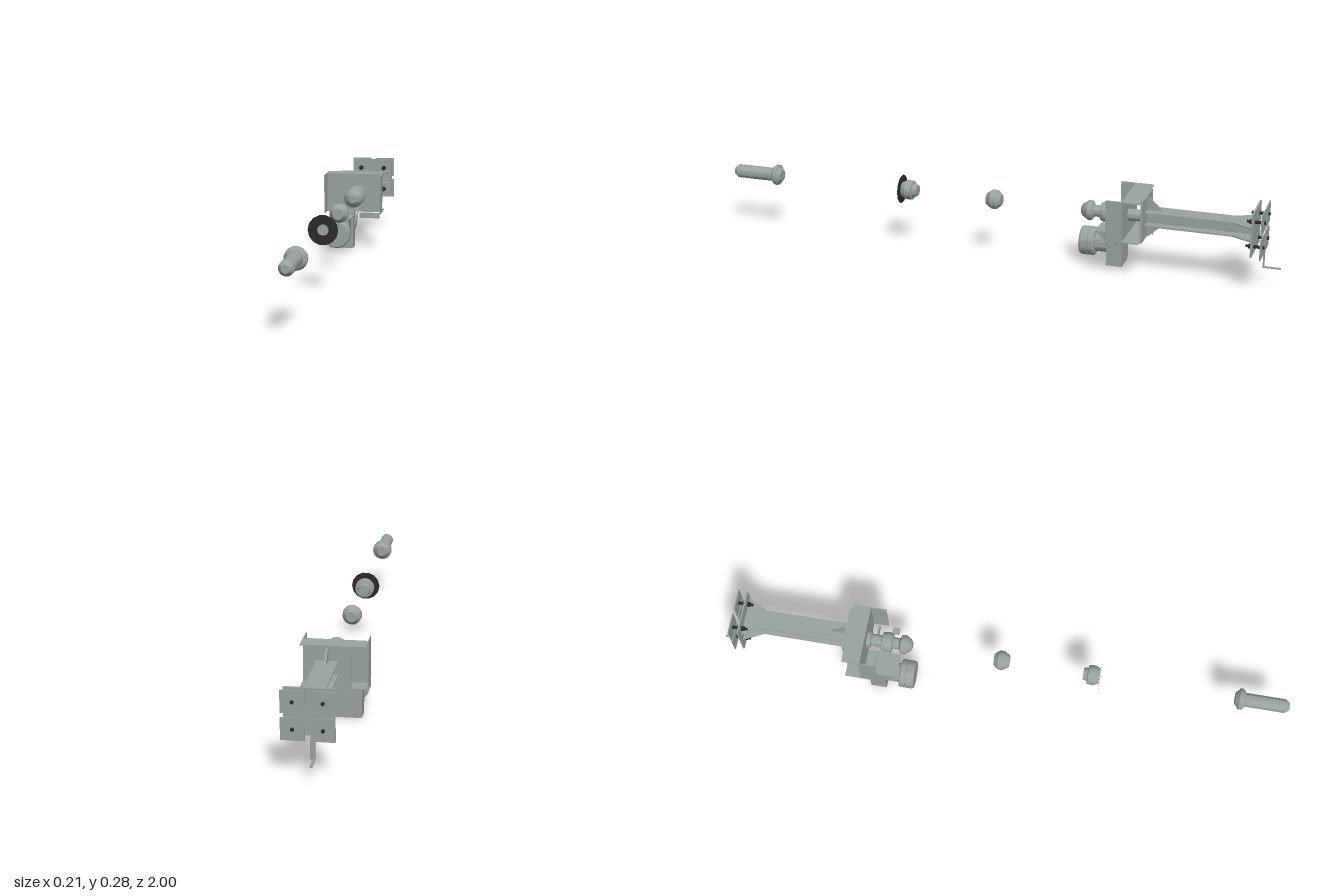
import * as THREE from 'three';
import { toCreasedNormals } from 'three/addons/utils/BufferGeometryUtils.js';

const AX = 0.015, AY = 0.205; // common axis of the exploded line

export function createModel() {
  const root = new THREE.Group();
  const steel = new THREE.MeshStandardMaterial({ color: 0x98a3a0 });
  steel.name = 'steel grey';
  const black = new THREE.MeshStandardMaterial({ color: 0x2a2a2a, side: THREE.DoubleSide });
  black.name = 'rubber black';
  const amber = new THREE.MeshStandardMaterial({ color: 0xd9a520 });
  amber.name = 'amber';

  const add = (name, geo, mat = steel, parent = root) => {
    const m = new THREE.Mesh(geo, mat);
    m.name = name;
    parent.add(m);
    return m;
  };
  // box given by its limits
  const box = (name, x0, x1, y0, y1, z0, z1, mat, parent) => {
    const m = add(name, new THREE.BoxGeometry(x1 - x0, y1 - y0, z1 - z0), mat, parent);
    m.position.set((x0 + x1) / 2, (y0 + y1) / 2, (z0 + z1) / 2);
    return m;
  };
  // turned part along z from [radius, z] pairs, back to front
  const turned = (name, profile, x = AX, y = AY, seg = 20, mat = steel, parent = root) => {
    const geo = new THREE.LatheGeometry(profile.map(p => new THREE.Vector2(...p)), seg);
    geo.rotateX(Math.PI / 2);
    const m = add(name, toCreasedNormals(geo, 0.5), mat, parent);
    m.position.set(x, y, 0);
    return m;
  };
  // flat polygon in the horizontal plane, points are [x, z]
  const flatPlate = (name, pts, y, t) => {
    const geo = new THREE.ExtrudeGeometry(new THREE.Shape(pts.map(p => new THREE.Vector2(p[0], -p[1]))),
      { depth: t, bevelEnabled: false });
    geo.rotateX(-Math.PI / 2);
    add(name, geo).position.y = y;
  };
  // flat polygon in the side plane, points are [z, y]
  const sidePlate = (name, pts, x, t, mat) => {
    const geo = new THREE.ExtrudeGeometry(new THREE.Shape(pts.map(p => new THREE.Vector2(-p[0], p[1]))),
      { depth: t, bevelEnabled: false });
    geo.rotateY(Math.PI / 2);
    add(name, geo, mat).position.x = x - t / 2;
  };

  // Separated parts along the axis
  turned('spindleRod', [[0, 0.812], [0.02, 0.812], [0.034, 0.826], [0.037, 0.826], [0.037, 0.836],
    [0.03, 0.845], [0.024, 0.847], [0.024, 0.985], [0.013, 1], [0, 1]]);
  turned('cup', [[0, 0.285], [0.02, 0.285], [0.024, 0.3], [0.033, 0.302], [0.035, 0.325], [0.026, 0.342], [0, 0.342]]);
  add('rubberRing', new THREE.RingGeometry(0.019, 0.051, 14), black).position.set(AX, AY, 0.344);
  turned('collar', [[0, -0.028], [0.019, -0.028], [0.033, -0.012], [0.034, 0.006], [0.02, 0.026], [0, 0.026]]);

  // Shaft with its two collars and bearing flange
  turned('shaft', [[0, -0.54], [0.02, -0.54], [0.02, -0.325], [0.014, -0.316], [0, -0.316]]);
  turned('frontCollar', [[0.02, -0.362], [0.033, -0.355], [0.035, -0.342], [0.022, -0.322], [0.015, -0.318]]);
  turned('rearCollar', [[0.02, -0.425], [0.032, -0.422], [0.035, -0.408], [0.035, -0.396], [0.03, -0.386], [0.02, -0.384]]);
  turned('bearing', [[0.02, -0.478], [0.03, -0.478], [0.03, -0.462], [0.02, -0.46]]);

  // Folded housing: back sheet, forward sides, rearward top and bottom
  const housing = new THREE.Group();
  housing.name = 'housing';
  root.add(housing);
  box('housingSheet', -0.108, 0.105, 0.133, 0.278, -0.48, -0.475, steel, housing);
  for (const x of [-0.108, 0.102]) box('housingSide', x, x + 0.003, 0.133, 0.278, -0.48, -0.422, steel, housing);
  for (const y of [0.133, 0.274]) box('housingFlange', -0.108, 0.105, y, y + 0.004, -0.537, -0.476, steel, housing);
  box('housingLip', 0.023, 0.098, 0.113, 0.133, -0.458, -0.452, steel, housing);
  box('smallTab', 0.076, 0.1, 0.128, 0.132, -0.405, -0.38);

  // Beam with I section, flared at the rear
  box('beamFrontPlate', -0.06, 0.087, 0.133, 0.28, -0.545, -0.537);
  box('beamWeb', AX - 0.004, AX + 0.004, 0.18, 0.23, -0.91, -0.54);
  for (const y of [0.18, 0.225]) {
    flatPlate('beamFlange', [[AX - 0.035, -0.54], [AX + 0.035, -0.54], [AX + 0.035, -0.84],
      [AX + 0.07, -0.908], [AX - 0.07, -0.908], [AX - 0.035, -0.84]].reverse(), y, 0.005);
  }
  sidePlate('upperGusset', [[-0.54, 0.23], [-0.54, 0.275], [-0.55, 0.275], [-0.6, 0.23]], AX, 0.006);
  sidePlate('lowerGusset', [[-0.54, 0.18], [-0.6, 0.18], [-0.55, 0.135], [-0.54, 0.135]], AX, 0.006);
  box('amberTag', -0.002, 0.008, 0.14, 0.178, -0.565, -0.55, amber);

  // Rear mounting plate, four pads and their bolts
  const CX = 0.01, CY = 0.2;
  box('mountingPlate', CX - 0.078, CX + 0.078, 0.128, 0.278, -0.914, -0.908);
  for (const sx of [-1, 1]) for (const sy of [-1, 1]) {
    const x = CX + sx * 0.046, y = CY + sy * 0.043;
    box('mountingPad', x - 0.037, x + 0.037, y - 0.036, y + 0.036, -0.944, -0.94);
    turned('bolt', [[0, -0.95], [0.006, -0.95], [0.006, -0.91], [0.009, -0.908], [0.009, -0.898],
      [0.005, -0.897], [0.005, -0.888], [0, -0.888]], x, y, 8, black);
  }
  // Hanging hook strip
  box('hookStem', -0.012, 0.003, 0.064, 0.128, -0.944, -0.94);
  box('hookFoot', -0.012, -0.004, 0.062, 0.066, -1, -0.94);

  // Drive unit below the housing
  box('gearbox', -0.083, 0.004, 0.005, 0.125, -0.458, -0.402);
  box('gearboxShelf', -0.083, 0.004, 0.122, 0.127, -0.458, -0.36);
  for (const x of [-0.081, -0.004]) {
    sidePlate('shelfBrace', [[-0.402, 0.08], [-0.402, 0.124], [-0.362, 0.124]], x, 0.004);
  }
  box('gearboxMount', -0.078, 0, 0.122, 0.136, -0.478, -0.44);
  turned('motor', [[0, -0.41], [0.034, -0.41], [0.034, -0.356], [0.046, -0.354], [0.05, -0.35],
    [0.05, -0.334], [0.048, -0.333], [0.048, -0.331], [0.05, -0.33], [0.05, -0.308], [0.046, -0.302], [0, -0.302]],
  -0.043, 0.072, 32);
  turned('drainPlug', [[0, -0.44], [0.008, -0.44], [0.008, -0.42], [0, -0.42]], -0.018, 0.009, 12);

  // Cables between shaft and drive
  const cable = pts => add('cable', new THREE.TubeGeometry(new THREE.CatmullRomCurve3(
    pts.map(p => new THREE.Vector3(...p))), 20, 0.003, 8));
  cable([[0.01, 0.17, -0.45], [0.011, 0.14, -0.41], [0.018, 0.115, -0.4], [0.012, 0.085, -0.41], [0, 0.07, -0.42]]);
  cable([[0.016, 0.16, -0.46], [0.016, 0.12, -0.43], [0.012, 0.1, -0.43], [0, 0.1, -0.43]]);

  return root;
}
